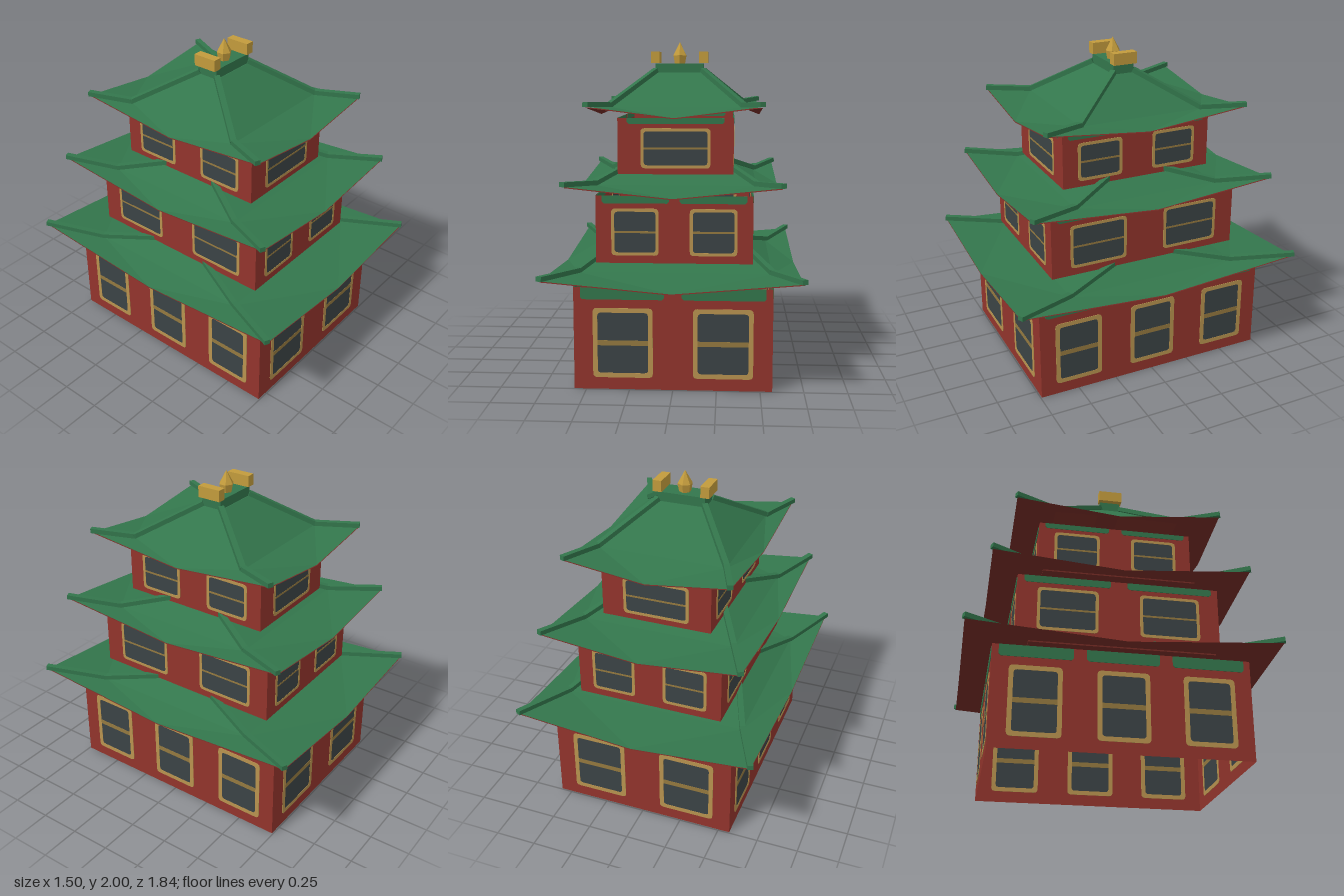
import * as THREE from 'three';

const mat = (name, color, side = THREE.FrontSide) => {
  const m = new THREE.MeshStandardMaterial({ color, side, flatShading: true });
  m.name = name;
  return m;
};
const wallRed = mat('wall red', 0x92342c, THREE.DoubleSide);
const roofGreen = mat('roof green', 0x33764c);
const soffitRed = mat('dark soffit red', 0x742b25, THREE.DoubleSide);
const frameTan = mat('window frame tan', 0xb8934f);
const barOlive = mat('window bar olive', 0x94793f);
const paneGrey = mat('window pane grey', 0x3b4345);
const gold = mat('gold', 0xc29b3c);

function add(parent, name, geometry, material, x = 0, y = 0, z = 0) {
  const m = new THREE.Mesh(geometry, material);
  m.name = name;
  m.position.set(x, y, z);
  parent.add(m);
  return m;
}

// Rounded rectangle, centred on the origin
function roundRect(path, w, h, r) {
  const x = w / 2, y = h / 2;
  path.moveTo(-x + r, -y).lineTo(x - r, -y).quadraticCurveTo(x, -y, x, -y + r);
  path.lineTo(x, y - r).quadraticCurveTo(x, y, x - r, y);
  path.lineTo(-x + r, y).quadraticCurveTo(-x, y, -x, y - r);
  path.lineTo(-x, -y + r).quadraticCurveTo(-x, -y, -x + r, -y);
  return path;
}

// Thin window that shows on both faces of the wall
function addWindow(parent, x0, x1, y0, y1, bar) {
  const w = x1 - x0, h = y1 - y0, t = h < 0.3 ? 0.018 : 0.027;
  const g = new THREE.Group();
  g.name = 'window';
  g.position.set((x0 + x1) / 2, (y0 + y1) / 2, 0);
  const shape = roundRect(new THREE.Shape(), w, h, 0.025);
  shape.holes.push(roundRect(new THREE.Path(), w - 2 * t, h - 2 * t, 0.02));
  const frame = new THREE.ExtrudeGeometry(shape, { depth: 0.006, bevelEnabled: false, curveSegments: 3 });
  add(g, 'windowFrame', frame, frameTan, 0, 0, -0.003);
  add(g, 'windowPane', new THREE.BoxGeometry(w - t, h - t, 0.003), paneGrey);
  add(g, 'windowBar', new THREE.BoxGeometry(w - 2 * t, bar, 0.005), barOlive);
  parent.add(g);
}

// Green lintel with chamfered lower corners
function addLintel(parent, x0, x1, y0, y1) {
  const c = 0.012;
  const s = new THREE.Shape([[x0, y1], [x0, y0 + c], [x0 + c, y0], [x1 - c, y0], [x1, y0 + c], [x1, y1]]
    .map(p => new THREE.Vector2(...p)));
  add(parent, 'lintel', new THREE.ExtrudeGeometry(s, { depth: 0.006, bevelEnabled: false }), roofGreen, 0, 0, -0.003);
}

// Four open walls; long and short sides alternate
function addStorey(root, s) {
  const storey = new THREE.Group();
  storey.name = s.name;
  for (let i = 0; i < 4; i++) {
    const side = new THREE.Group(), odd = i % 2;
    side.name = odd ? 'sideWall' : 'endWall';
    const w = odd ? s.z : s.x, d = odd ? s.x : s.z;
    side.rotation.y = i * Math.PI / 2;
    side.position.set(Math.sin(side.rotation.y) * d, 0, Math.cos(side.rotation.y) * d);
    add(side, 'wall', new THREE.PlaneGeometry(2 * w, s.y1 - s.y0), wallRed, 0, (s.y0 + s.y1) / 2);
    for (const [a, b] of odd ? s.sideWindows : s.endWindows) addWindow(side, a, b, s.win[0], s.win[1], s.bar);
    for (const [a, b] of odd ? s.sideLintels : s.endLintels) addLintel(side, a, b, s.lintelY, s.y1 - 0.001);
    storey.add(side);
  }
  root.add(storey);
}

// Hipped roof with sagging eaves, dark underside and hip beams
function addRoof(root, r) {
  const roof = new THREE.Group();
  roof.name = r.name;
  const signs = [[-1, 1], [1, 1], [1, -1], [-1, -1]];
  const ring = ([x, y, z]) => signs.map(([sx, sz]) => new THREE.Vector3(sx * x, y, sz * z));
  const eave = ring(r.eave), kink = ring(r.kink), top = ring(r.top);
  const tris = [[top[0], top[1], top[2]], [top[0], top[2], top[3]]];
  for (let i = 0; i < 4; i++) {
    const j = (i + 1) % 4;
    const mid = eave[i].clone().lerp(eave[j], 0.5).setY(r.sag);
    tris.push([eave[i], mid, kink[i]], [mid, kink[j], kink[i]], [mid, eave[j], kink[j]],
      [kink[i], kink[j], top[j]], [kink[i], top[j], top[i]]);
  }
  const surface = flip => {
    const pts = tris.flatMap(t => flip ? [t[0], t[2], t[1]] : t);
    const g = new THREE.BufferGeometry().setFromPoints(pts);
    g.computeVertexNormals();
    return g;
  };
  add(roof, 'roofSurface', surface(false), roofGreen);
  add(roof, 'roofUnderside', surface(true), soffitRed, 0, -0.006, 0);
  if (r.ceiling) {
    add(roof, 'ceiling', new THREE.BoxGeometry(2 * r.kink[0], 0.008, 2 * r.kink[2]), soffitRed, 0, r.ceiling, 0);
  }
  const beam = (a, b) => {
    const m = add(roof, 'hipBeam', new THREE.BoxGeometry(0.034, 0.028, a.distanceTo(b) + 0.014), roofGreen);
    m.position.copy(a).lerp(b, 0.5).y += 0.013;
    m.lookAt(b.clone().setY(b.y + 0.013));
  };
  for (let i = 0; i < 4; i++) {
    beam(eave[i], kink[i]);
    beam(kink[i], top[i]);
  }
  root.add(roof);
}

const mirrored = (a, b) => [[-b, -a], [a, b]];

export function createModel() {
  const root = new THREE.Group();
  root.name = 'pagoda';

  addStorey(root, {
    name: 'lowerStorey', x: 0.57, z: 0.743, y0: 0, y1: 0.6, win: [0.07, 0.48], lintelY: 0.53, bar: 0.03,
    endWindows: mirrored(0.115, 0.46), sideWindows: [...mirrored(0.345, 0.645), [-0.15, 0.15]],
    endLintels: mirrored(0.05, 0.53), sideLintels: [...mirrored(0.285, 0.705), [-0.21, 0.21]],
  });
  addStorey(root, {
    name: 'middleStorey', x: 0.455, z: 0.61, y0: 0.715, y1: 1.11, win: [0.76, 1.035], lintelY: 1.065, bar: 0.012,
    endWindows: mirrored(0.09, 0.365), sideWindows: mirrored(0.125, 0.49),
    endLintels: mirrored(0.03, 0.42), sideLintels: mirrored(0.05, 0.57),
  });
  addStorey(root, {
    name: 'upperStorey', x: 0.34, z: 0.48, y0: 1.22, y1: 1.55, win: [1.255, 1.49], lintelY: 1.515, bar: 0.012,
    endWindows: [[-0.205, 0.205]], sideWindows: mirrored(0.1, 0.385),
    endLintels: [[-0.285, 0.285]], sideLintels: mirrored(0.04, 0.445),
  });

  addRoof(root, {
    name: 'lowerRoof', eave: [0.73, 0.668, 0.905], kink: [0.57, 0.643, 0.545], top: [0.42, 0.72, 0.16],
    sag: 0.604, ceiling: 0.63,
  });
  addRoof(root, {
    name: 'middleRoof', eave: [0.615, 1.178, 0.772], kink: [0.476, 1.153, 0.465], top: [0.31, 1.235, 0.16],
    sag: 1.114, ceiling: 1.14,
  });
  addRoof(root, {
    name: 'upperRoof', eave: [0.5, 1.62, 0.638], kink: [0.395, 1.61, 0.39], top: [0.15, 1.81, 0.07],
    sag: 1.556,
  });

  // Ridge, end blocks and finial
  add(root, 'ridge', new THREE.BoxGeometry(0.3, 0.06, 0.13), roofGreen, 0, 1.838, 0);
  for (const s of [-1, 1]) {
    add(root, 'ridgeEnd', new THREE.BoxGeometry(0.055, 0.07, 0.15), gold, s * 0.15, 1.905, 0);
  }
  add(root, 'finialBase', new THREE.CylinderGeometry(0.046, 0.036, 0.05, 6), gold, 0, 1.893, 0);
  add(root, 'finialTip', new THREE.ConeGeometry(0.046, 0.082, 6), gold, 0, 1.959, 0);
  return root;
}
